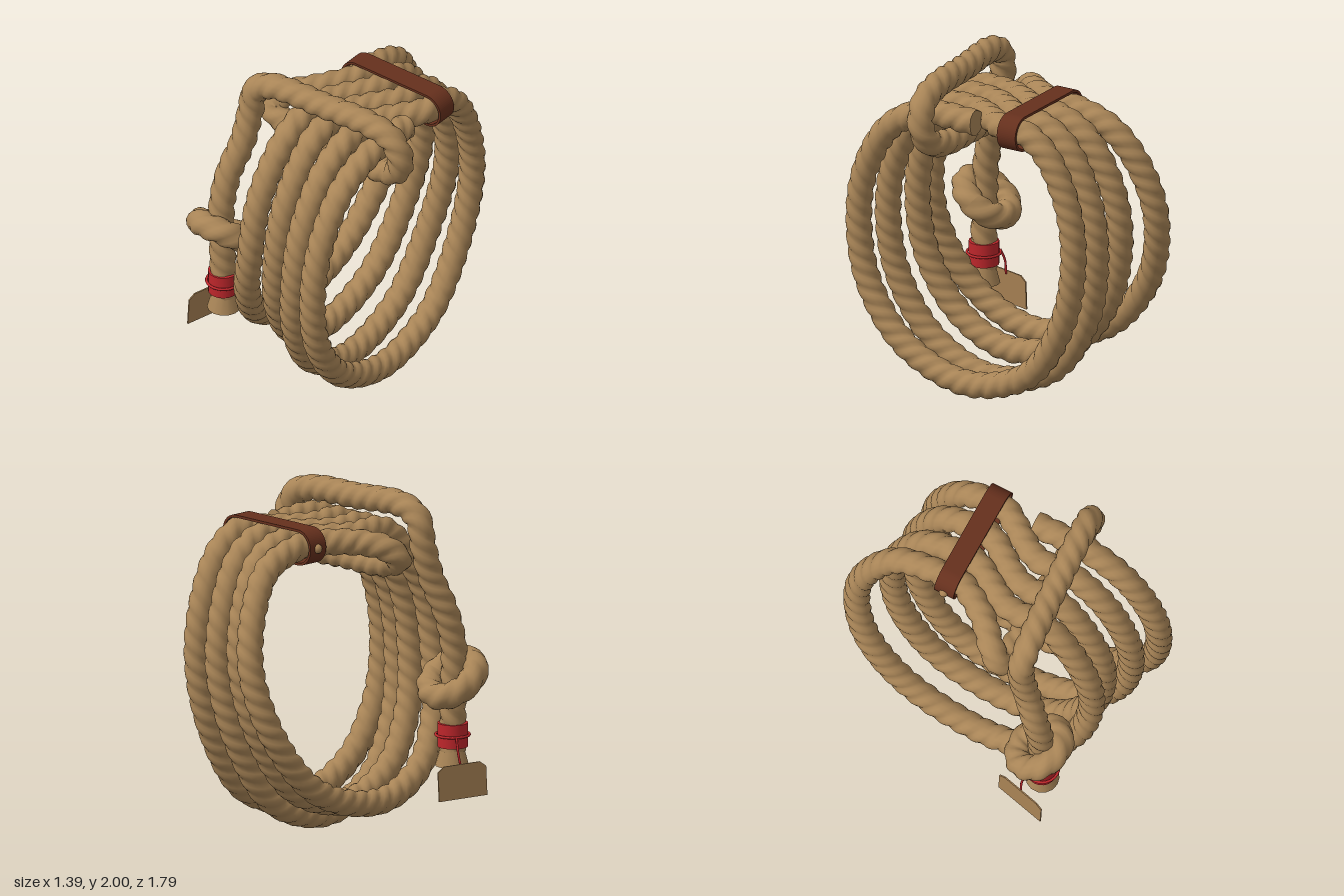
import * as THREE from 'three';

const mat = (name, color) => {
  const m = new THREE.MeshStandardMaterial({ color });
  m.name = name;
  return m;
};
const V = (x, y, z) => new THREE.Vector3(x, y, z);

// Three-strand twisted rope swept along a curve
function ropeGeometry(curve, radius, step, closed = false) {
  curve.arcLengthDivisions = 1500;
  const length = curve.getLength();
  const rows = Math.round(length / step), sides = 15;
  const turns = Math.round(length / 0.3);
  const frames = curve.computeFrenetFrames(rows, closed);
  const pos = [], index = [];
  for (let i = 0; i <= rows; i++) {
    const c = curve.getPointAt(i / rows);
    const twist = (i / rows) * turns * Math.PI * 2;
    for (let j = 0; j < sides; j++) {
      const a = (j / sides) * Math.PI * 2;
      const lobe = Math.abs(Math.cos(1.5 * (a + twist)));
      const r = radius * (0.87 + 0.18 * lobe);
      const p = c.clone()
        .addScaledVector(frames.normals[i], r * Math.cos(a))
        .addScaledVector(frames.binormals[i], r * Math.sin(a));
      pos.push(p.x, p.y, p.z);
    }
  }
  for (let i = 0; i < rows; i++) {
    for (let j = 0; j < sides; j++) {
      const k = (j + 1) % sides;
      const a = i * sides + j, b = i * sides + k, c = a + sides, d = b + sides;
      index.push(a, b, c, b, d, c);
    }
  }
  // Flat cut ends, with their own vertices so the edge stays sharp
  if (!closed) {
    for (const end of [0, rows]) {
      const base = pos.length / 3;
      const c = curve.getPointAt(end / rows);
      pos.push(c.x, c.y, c.z);
      for (let j = 0; j < sides; j++) {
        const o = (end * sides + j) * 3;
        pos.push(pos[o], pos[o + 1], pos[o + 2]);
      }
      for (let j = 0; j < sides; j++) {
        const a = base + 1 + j, b = base + 1 + ((j + 1) % sides);
        index.push(base, ...(end === 0 ? [b, a] : [a, b]));
      }
    }
  }
  const g = new THREE.BufferGeometry();
  g.setAttribute('position', new THREE.Float32BufferAttribute(pos, 3));
  g.setIndex(index);
  g.computeVertexNormals();
  return g;
}

// One turn of the coil: over the top, down the front, up the back to the strap
function coilTurn({ top, front, bottom, back, zFront, zBack, low }, first) {
  const mix = THREE.MathUtils.lerp;
  const rows = [
    [first ? 0 : 0.1, 1.75, top], [0.34, 1.745, top],
    [zFront * 0.72, 1.61, mix(top, front, 0.25)],
    [zFront * 0.94, 1.3, mix(top, front, 0.65)],
    [zFront, 0.95, front],
    [zFront * 0.92, 0.6, mix(front, bottom, 0.4)],
    [zFront * 0.64, 0.28, mix(front, bottom, 0.85)],
    [0.11, 0.12, bottom],
    [zBack * 0.48, 0.25, mix(bottom, back, 0.05)],
    [zBack * 0.86, 0.62, mix(bottom, back, 0.35)],
    [zBack, 1.05, back],
    [zBack * 0.93, 1.38, mix(back, top, 0.45)],
    [zBack * 0.72, 1.65, mix(back, top, 0.9)],
    [-0.32, 1.75, top], [-0.2, 1.75, top],
  ];
  return rows.map(([z, y, x]) => V(x, low + (y - 0.12) * (1.75 - low) / 1.63, z));
}

// Stadium outline centred on the origin
function stadium(Type, w, h) {
  const r = h / 2, s = new Type();
  s.moveTo(-w / 2 + r, -r);
  s.lineTo(w / 2 - r, -r);
  s.absarc(w / 2 - r, 0, r, -Math.PI / 2, Math.PI / 2, false);
  s.lineTo(-w / 2 + r, r);
  s.absarc(-w / 2 + r, 0, r, Math.PI / 2, Math.PI * 1.5, false);
  return s;
}

export function createModel() {
  const group = new THREE.Group();
  const hemp = mat('hemp rope', 0xa98557);
  const leather = mat('brown leather', 0x66301d);
  const red = mat('red binding', 0xbe262b);
  const card = mat('tan tag', 0xa88254);
  const add = (name, geometry, material, x = 0, y = 0, z = 0) => {
    const m = new THREE.Mesh(geometry, material);
    m.name = name;
    m.position.set(x, y, z);
    group.add(m);
    return m;
  };

  // Coil, wrapping turn and hanging tail as one continuous rope
  const turns = [
    { top: 0.44, front: 0.405, bottom: 0.38, back: 0.42, zFront: 0.82, zBack: -0.645, low: 0.12 },
    { top: 0.26, front: 0.21, bottom: 0.125, back: 0.22, zFront: 0.745, zBack: -0.67, low: 0.08 },
    { top: 0.08, front: 0.02, bottom: -0.07, back: 0.01, zFront: 0.665, zBack: -0.7, low: 0.19 },
    { top: -0.08, front: -0.15, bottom: -0.325, back: -0.2, zFront: 0.68, zBack: -0.815, low: 0.23 },
  ];
  const path = turns.flatMap((t, i) => coilTurn(t, i === 0));
  path.push(
    V(-0.2, 1.745, 0), V(-0.33, 1.71, 0.13), V(-0.365, 1.64, 0.2), V(-0.22, 1.585, 0.215),
    V(0.1, 1.58, 0.22), V(0.45, 1.58, 0.235), V(0.57, 1.63, 0.25), V(0.615, 1.75, 0.27),
    V(0.555, 1.865, 0.28), V(0.42, 1.91, 0.29), V(0.1, 1.915, 0.31), V(-0.26, 1.915, 0.34),
    V(-0.37, 1.85, 0.35), V(-0.4, 1.7, 0.36), V(-0.42, 1.5, 0.41), V(-0.465, 1.3, 0.48),
    V(-0.48, 1.1, 0.525), V(-0.475, 0.85, 0.53), V(-0.468, 0.65, 0.53), V(-0.465, 0.48, 0.53),
  );
  add('coiledRope', ropeGeometry(new THREE.CatmullRomCurve3(path), 0.0755, 0.022), hemp);

  // Tilted knot around the tail
  const ring = [];
  for (let i = 0; i < 16; i++) {
    const a = (i / 16) * Math.PI * 2;
    ring.push(V(-0.478 + 0.142 * Math.cos(a), 0.908 + 0.09 * Math.sin(a), 0.518 + 0.12 * Math.sin(a)));
  }
  add('tailKnot', ropeGeometry(new THREE.CatmullRomCurve3(ring, true), 0.076, 0.022, true), hemp);

  // Frayed end of the tail
  add('frayedEnd', new THREE.CylinderGeometry(0.066, 0.098, 0.12, 14), hemp, -0.462, 0.45, 0.53);

  // Red whipping with a thicker turn round its middle
  add('whipping', new THREE.CylinderGeometry(0.088, 0.088, 0.14, 20), red, -0.468, 0.572, 0.53);
  add('whippingTurn', new THREE.TorusGeometry(0.098, 0.008, 8, 24), red, -0.466, 0.572, 0.53)
    .rotation.x = Math.PI / 2;

  // String and paper tag
  const string = new THREE.CatmullRomCurve3([V(-0.555, 0.57, 0.475), V(-0.582, 0.5, 0.46), V(-0.6, 0.41, 0.465)]);
  add('tagString', new THREE.TubeGeometry(string, 10, 0.007, 6), red);
  const outline = new THREE.Shape([[-0.16, -0.1], [0.16, -0.1], [0.16, 0.07], [0.12, 0.1], [-0.12, 0.1], [-0.16, 0.07]]
    .map(([x, y]) => new THREE.Vector2(x, y)));
  const tag = add('tag', new THREE.ExtrudeGeometry(outline, { depth: 0.008, bevelEnabled: false }), card, -0.608, 0.33, 0.467);
  tag.rotation.y = Math.atan2(0.31, 0.075) - Math.PI;
  tag.rotateOnWorldAxis(V(0, 0, 1), -0.06);

  // Leather strap gathering the turns, with a stud at its end
  const strap = stadium(THREE.Shape, 0.72, 0.21);
  strap.holes.push(stadium(THREE.Path, 0.69, 0.18));
  add('strap', new THREE.ExtrudeGeometry(strap, { depth: 0.125, bevelEnabled: false, curveSegments: 16 }),
    leather, 0.18, 1.745, -0.325);
  add('strapStud', new THREE.SphereGeometry(0.028, 12, 8), card, -0.175, 1.745, -0.265);

  return group;
}
